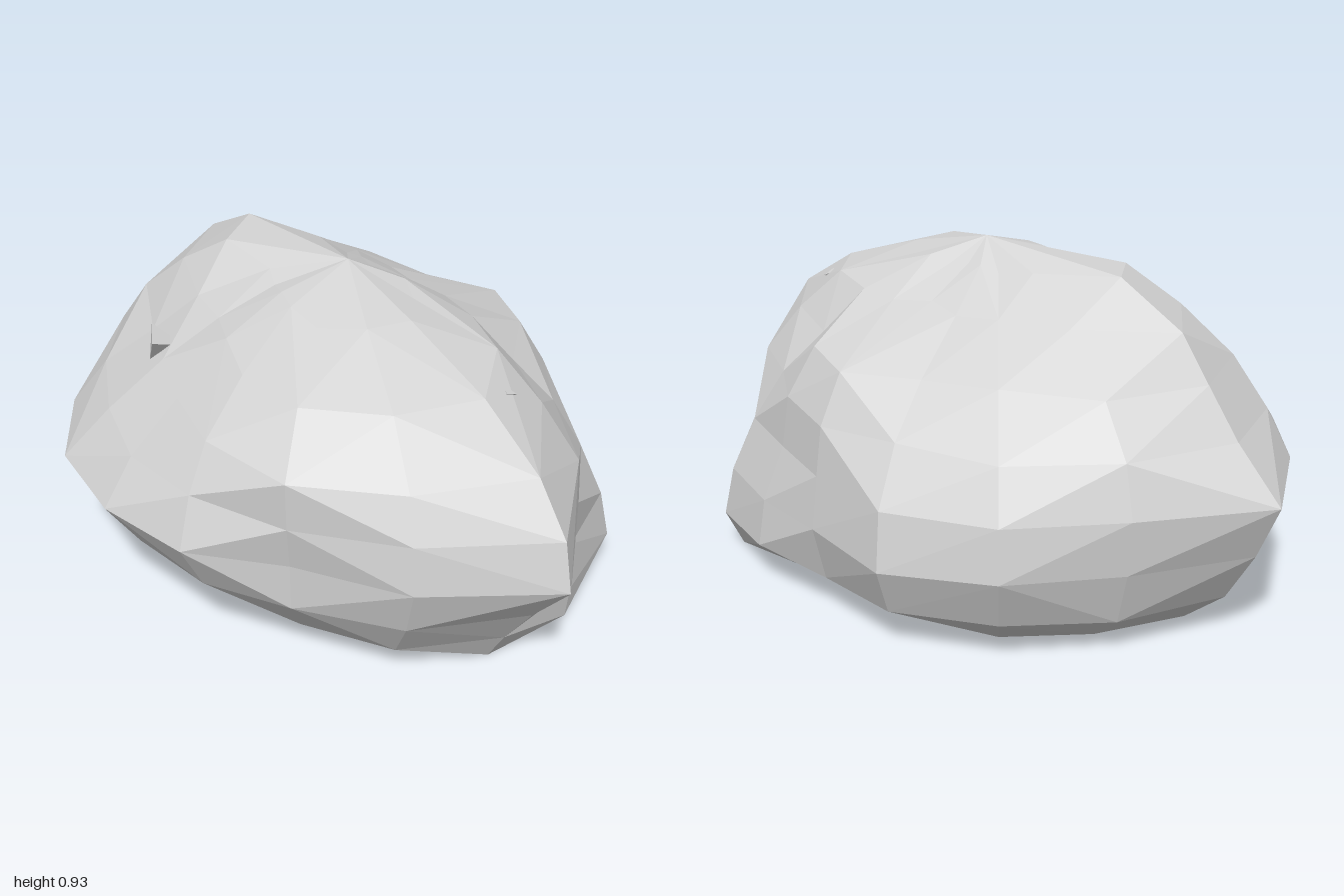
import * as THREE from 'three';

// Height of each contour and its radii, every 22.5 degrees from +x towards +z
const contours = [
  { y: 0.0, r: [.71, .54, .43, .40, .39, .42, .53, .64, .71, .66, .63, .56, .52, .57, .76, .76] },
  { y: 0.1, r: [.77, .69, .58, .52, .50, .53, .62, .73, .84, .79, .78, .75, .67, .73, .81, .77] },
  { y: 0.24, r: [.87, .79, .70, .66, .65, .67, .73, .80, .93, .84, .85, .81, .71, .71, .78, .76] },
  { y: 0.39, r: [1.0, .85, .71, .75, .75, .785, .80, .86, 1.0, .86, .84, .79, .69, .65, .71, .77] },
  { y: 0.53, r: [.97, .84, .74, .70, .66, .65, .69, .79, .86, .82, .77, .69, .67, .63, .62, .76] },
  { y: 0.66, r: [.86, .79, .75, .62, .51, .49, .54, .69, .76, .70, .60, .53, .60, .55, .50, .64] },
  { y: 0.78, r: [.64, .62, .58, .45, .35, .33, .40, .54, .67, .49, .36, .31, .27, .32, .38, .50] },
  { y: 0.87, r: [.33, .34, .30, .22, .17, .17, .19, .38, .46, .25, .17, .14, .13, .15, .19, .24] },
];
const SIDES = 16;

function boulderGeometry() {
  const pos = [];
  const index = [];
  contours.forEach(({ y, r }, k) => {
    for (let i = 0; i < SIDES; i++) {
      const a = (i / SIDES) * Math.PI * 2;
      // slightly uneven heights; base and tips stay put
      const wobble = k === 0 || k === 3 || i % 8 === 0 ? 0 : 0.008 * Math.sin(i * 2.4 + k * 1.7);
      // raised left shoulder of the crown
      const shoulder = k === 7 && (i === 7 || i === 8) ? 0.02 : 0;
      pos.push(r[i] * Math.cos(a), y + wobble + shoulder, r[i] * Math.sin(a) - 0.02 * Math.abs(Math.cos(a)));
    }
  });
  // walls: each quad is split along the diagonal that bulges outwards
  const at = (n) => new THREE.Vector3().fromArray(pos, n * 3);
  for (let k = 0; k < contours.length - 1; k++) {
    for (let i = 0; i < SIDES; i++) {
      const j = (i + 1) % SIDES;
      const a = k * SIDES + i, b = k * SIDES + j;
      const d = a + SIDES, c = b + SIDES;
      const normal = at(d).sub(at(a)).cross(at(b).sub(at(a)));
      if (normal.dot(at(c).sub(at(a))) < 0) index.push(a, d, b, b, d, c);
      else index.push(a, d, c, a, c, b);
    }
  }
  // flat base and low peak
  const base = pos.length / 3;
  pos.push(0, 0, -0.05, 0.03, 0.93, -0.03);
  const top = (contours.length - 1) * SIDES;
  for (let i = 0; i < SIDES; i++) {
    const j = (i + 1) % SIDES;
    index.push(base, i, j);
    index.push(base + 1, top + j, top + i);
  }
  const geo = new THREE.BufferGeometry();
  geo.setAttribute('position', new THREE.Float32BufferAttribute(pos, 3));
  geo.setIndex(index);
  geo.computeVertexNormals();
  return geo;
}

export function createModel() {
  const group = new THREE.Group();
  group.name = 'rock';
  const stone = new THREE.MeshStandardMaterial({ color: 0xd6d6d6, flatShading: true });
  stone.name = 'pale grey stone';

  const boulder = new THREE.Mesh(boulderGeometry(), stone);
  boulder.name = 'boulder';
  group.add(boulder);

  // small chips poking through the surface
  const chip = (name, size, x, y, z) => {
    const mesh = new THREE.Mesh(new THREE.TetrahedronGeometry(size), stone);
    mesh.name = name;
    mesh.position.set(x, y, z);
    mesh.rotation.set(0.4, 0.3, 0.2);
    group.add(mesh);
  };
  chip('frontChip', 0.07, -0.25, 0.68, 0.42);
  chip('sideChip', 0.025, 0.6, 0.74, -0.13);
  return group;
}
